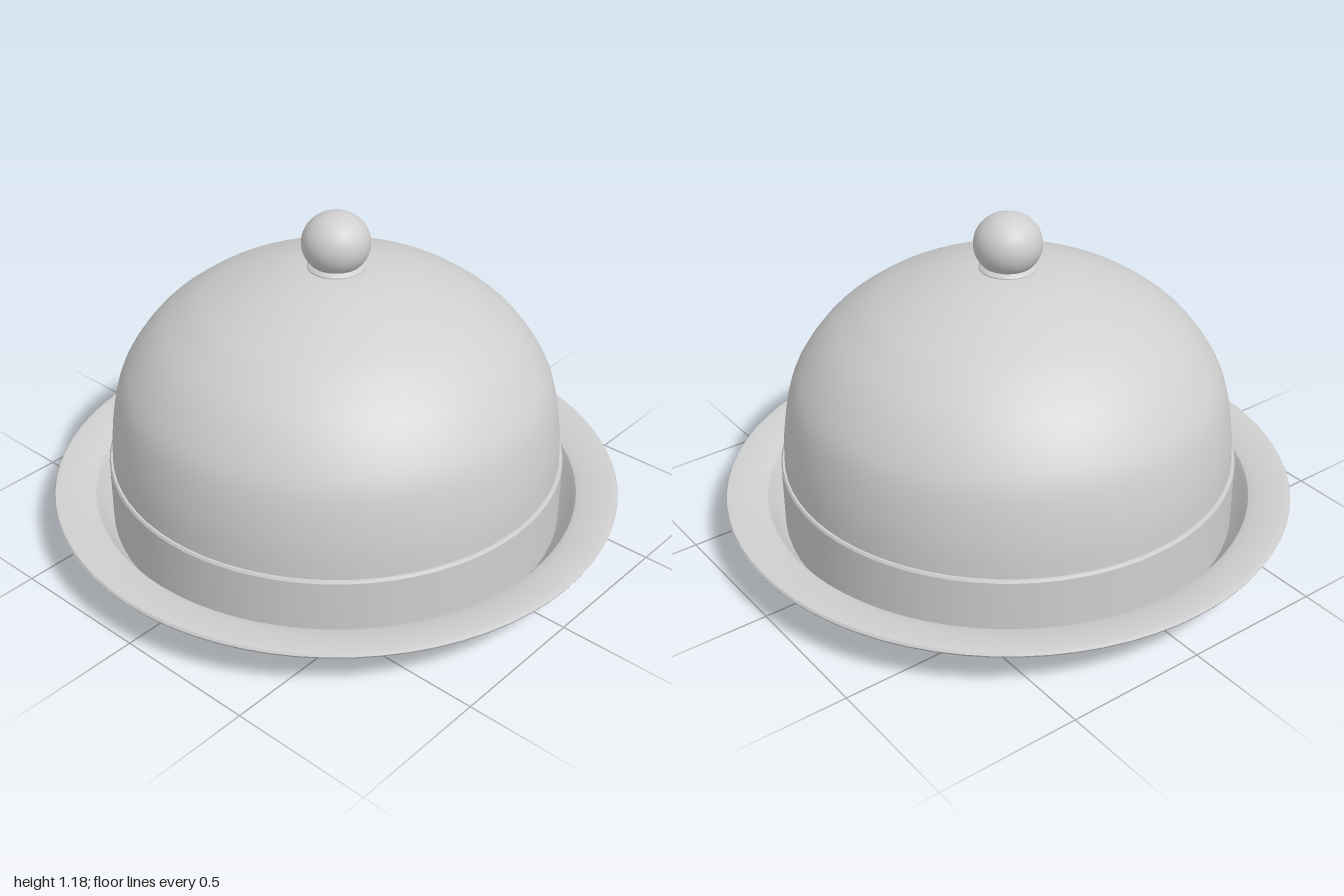
import * as THREE from 'three';
import { toCreasedNormals } from 'three/addons/utils/BufferGeometryUtils.js';

const SEGMENTS = 72;

// Revolve a profile of [radius, height] pairs, keeping its hard edges
function turned(name, profile, material) {
  const points = profile.map(([r, y]) => new THREE.Vector2(r, y));
  const geometry = toCreasedNormals(new THREE.LatheGeometry(points, SEGMENTS), 0.5);
  const mesh = new THREE.Mesh(geometry, material);
  mesh.name = name;
  return mesh;
}

export function createModel() {
  const group = new THREE.Group();
  group.name = 'domedServingDish';
  const silver = new THREE.MeshStandardMaterial({ color: 0xcfcfcf, side: THREE.DoubleSide });
  silver.name = 'silver grey';

  // Dish: flat base, flared wall, wide thin lip and sunken floor
  group.add(turned('plate', [
    [0, 0], [0.62, 0.004], [0.765, 0.01], [0.785, 0.018], [0.80, 0.035],
    [0.85, 0.108], [0.868, 0.124], [0.89, 0.132], [0.97, 0.145], [0.995, 0.153],
    [1, 0.162], [0.995, 0.17], [0.98, 0.172], [0.88, 0.16], [0.855, 0.15],
    [0.84, 0.13], [0.80, 0.06], [0.785, 0.045], [0, 0.04],
  ], silver));

  // Straight band round the foot of the cover
  group.add(turned('coverBand', [
    [0.77, 0.042], [0.798, 0.042], [0.798, 0.282], [0.793, 0.29], [0.775, 0.29],
  ], silver));

  // Cover, following a smooth curve up to the crown
  const domeCurve = new THREE.SplineCurve([
    [0.786, 0.285], [0.778, 0.41], [0.75, 0.555], [0.705, 0.65], [0.63, 0.748],
    [0.545, 0.82], [0.45, 0.88], [0.30, 0.943], [0.15, 0.981], [0, 0.99],
  ].map(([r, y]) => new THREE.Vector2(r, y)));
  const domeProfile = domeCurve.getPoints(36).map((p) => [Math.max(p.x, 0), p.y]);
  group.add(turned('cover', domeProfile, silver));

  // Collar and ball handle
  group.add(turned('handleCollar', [
    [0.098, 0.975], [0.098, 0.99], [0.09, 0.998], [0.077, 1.004], [0.07, 1.02],
  ], silver));
  const knob = new THREE.Mesh(new THREE.SphereGeometry(0.116, 40, 28), silver);
  knob.name = 'handleKnob';
  knob.scale.y = 0.92;
  knob.position.y = 1.073;
  group.add(knob);

  return group;
}
